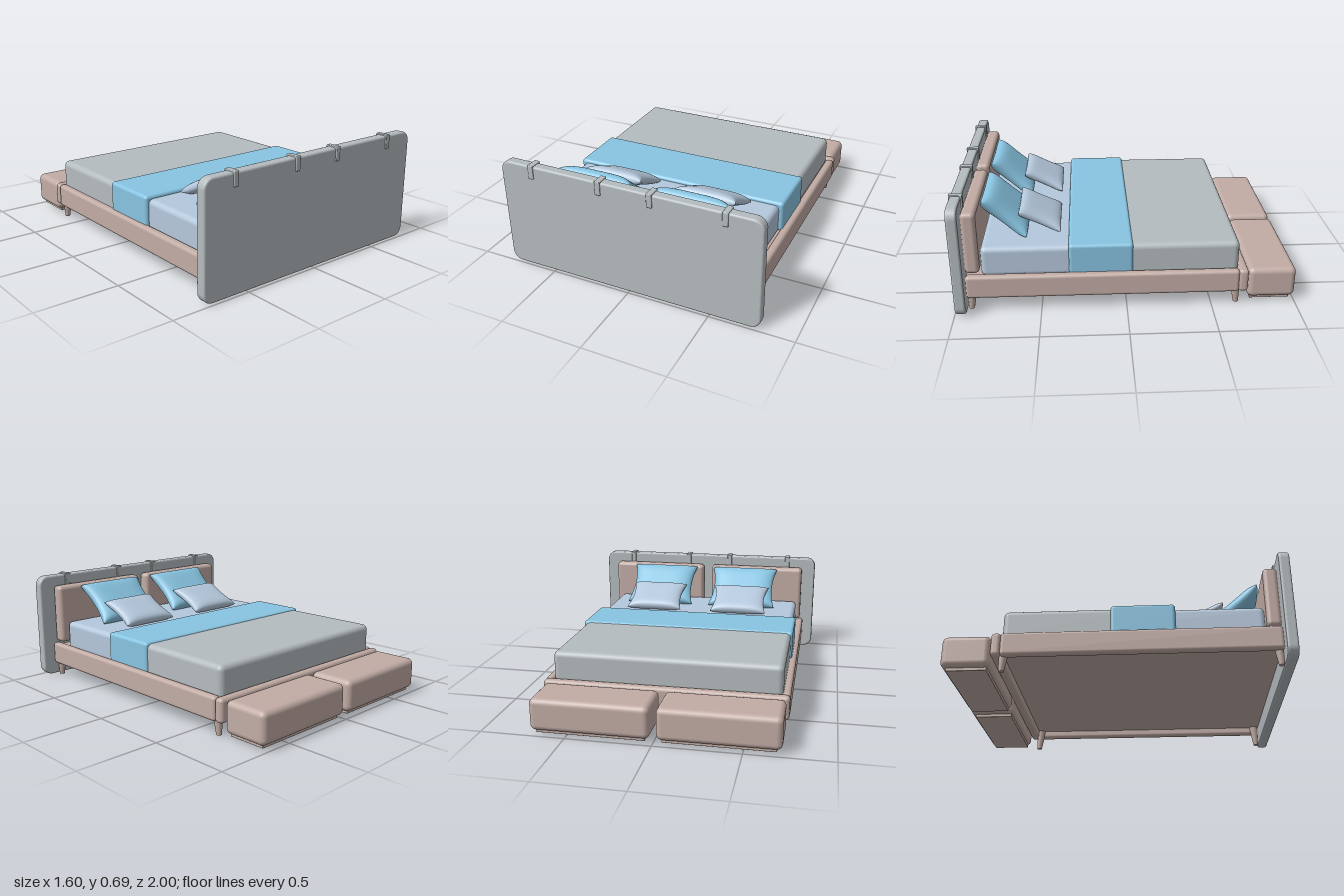
import * as THREE from 'three';
import { mergeVertices } from 'three/addons/utils/BufferGeometryUtils.js';
import { RoundedBoxGeometry } from 'three/addons/geometries/RoundedBoxGeometry.js';

const material = (name, color) => {
  const m = new THREE.MeshStandardMaterial({ color });
  m.name = name;
  return m;
};

// Soft box given by its minimum and maximum corners
function softBox(name, mat, [x0, y0, z0], [x1, y1, z1], radius) {
  const geo = new RoundedBoxGeometry(x1 - x0, y1 - y0, z1 - z0, 4, radius);
  const mesh = new THREE.Mesh(geo, mat);
  mesh.position.set((x0 + x1) / 2, (y0 + y1) / 2, (z0 + z1) / 2);
  mesh.name = name;
  return mesh;
}

// Upright slab with rounded corners and a bevelled rim
function slabGeometry(w, y0, y1, depth, r, bevel) {
  const x = w / 2 - bevel, lo = y0 + bevel, hi = y1 - bevel;
  const s = new THREE.Shape();
  s.moveTo(-x + r, lo);
  s.lineTo(x - r, lo);
  s.absarc(x - r, lo + r, r, -Math.PI / 2, 0);
  s.absarc(x - r, hi - r, r, 0, Math.PI / 2);
  s.absarc(-x + r, hi - r, r, Math.PI / 2, Math.PI);
  s.absarc(-x + r, lo + r, r, Math.PI, Math.PI * 1.5);
  const geo = new THREE.ExtrudeGeometry(s, {
    depth: depth - 2 * bevel, bevelSize: bevel, bevelThickness: bevel, bevelSegments: 4, curveSegments: 10,
  });
  return geo.translate(0, 0, bevel);
}

// Plump cushion with full, rounded ends, pinched sides and pointed corners
function pillowGeometry(w, t, l) {
  const geo = new THREE.BoxGeometry(2, 2, 2, 28, 1, 28);
  geo.deleteAttribute('uv');
  geo.deleteAttribute('normal');
  const p = geo.attributes.position;
  for (let i = 0; i < p.count; i++) {
    const u = Math.sin(p.getX(i) * Math.PI / 2), v = Math.sin(p.getZ(i) * Math.PI / 2);
    const puff = Math.sqrt(Math.max(0, (1 - u ** 4) * (1 - v ** 6)));
    p.setXYZ(i,
      w / 2 * u * (1 - 0.11 * (1 - v * v)),
      Math.sign(p.getY(i)) * (0.003 + (t / 2 - 0.003) * puff),
      l / 2 * v * (1 - 0.03 * (1 - u * u)));
  }
  const merged = mergeVertices(geo);
  merged.computeVertexNormals();
  return merged;
}

export function createModel() {
  const taupe = material('taupe upholstery', 0xc2aca5);
  const grey = material('grey fabric', 0xb5bcbf);
  const blue = material('blue fabric', 0x88c4e1);
  const pale = material('pale blue linen', 0xb5c8dc);

  const bed = new THREE.Group();
  bed.name = 'bed';

  // Headboard panel with straps folded over the top
  const headboard = new THREE.Mesh(slabGeometry(1.6, 0.005, 0.683, 0.062, 0.05, 0.012), grey);
  headboard.position.z = 0.931;
  headboard.name = 'headboard';
  bed.add(headboard);
  for (const x of [-0.595, -0.16, 0.155, 0.59]) {
    bed.add(softBox('headboardStrap', grey, [x - 0.017, 0.605, 0.922], [x + 0.017, 0.69, 1], 0.005));
  }

  // Back cushions
  bed.add(softBox('rightBackCushion', taupe, [-0.707, 0.235, 0.848], [-0.033, 0.617, 0.932], 0.026));
  bed.add(softBox('leftBackCushion', taupe, [0.03, 0.235, 0.848], [0.704, 0.617, 0.932], 0.026));

  // Frame: side rails, foot rail and a base panel set up inside them
  bed.add(softBox('rightRail', taupe, [-0.728, 0.083, -0.66], [-0.676, 0.226, 0.932], 0.02));
  bed.add(softBox('leftRail', taupe, [0.674, 0.083, -0.66], [0.726, 0.226, 0.932], 0.02));
  bed.add(softBox('footRail', taupe, [-0.727, 0.083, -0.714], [0.724, 0.226, -0.656], 0.022));
  bed.add(softBox('basePanel', taupe, [-0.69, 0.13, -0.68], [0.69, 0.205, 0.932], 0.002));

  // Tapered legs, splayed towards the ends of the bed
  for (const side of [-1, 1]) {
    for (const [z, end] of [[0.9, 1], [-0.64, -1]]) {
      const geo = new THREE.CylinderGeometry(0.03, 0.016, 0.135, 20).translate(0, 0.0675, 0);
      const p = geo.attributes.position;
      for (let i = 0; i < p.count; i++) p.setZ(i, p.getZ(i) + end * (0.135 - p.getY(i)) * 0.08);
      geo.computeVertexNormals();
      const leg = new THREE.Mesh(geo, taupe);
      leg.position.set(side * 0.68, 0, z);
      leg.name = 'leg';
      bed.add(leg);
    }
  }

  // Mattress and covers
  bed.add(softBox('mattress', pale, [-0.677, 0.19, -0.63], [0.66, 0.377, 0.845], 0.032));
  bed.add(softBox('blanket', grey, [-0.687, 0.19, -0.66], [0.675, 0.388, 0.05], 0.034));
  bed.add(softBox('throw', blue, [-0.699, 0.205, -0.038], [0.687, 0.398, 0.335], 0.02));

  // Two stacks of pillows leaning on the back cushions
  const largePillow = pillowGeometry(0.475, 0.108, 0.335);
  const smallPillow = pillowGeometry(0.385, 0.08, 0.272);
  for (const x of [-0.29, 0.308]) {
    const large = new THREE.Mesh(largePillow, blue);
    large.position.set(x, 0.497, 0.708);
    large.rotation.x = -0.72;
    large.name = 'largePillow';
    const small = new THREE.Mesh(smallPillow, pale);
    small.position.set(x, 0.456, 0.505);
    small.rotation.x = -0.45;
    small.name = 'smallPillow';
    bed.add(large, small);
  }

  // Two benches on recessed plinths at the foot
  for (const [x0, x1] of [[-0.711, -0.021], [0.015, 0.705]]) {
    bed.add(softBox('bench', taupe, [x0, 0.03, -1], [x1, 0.221, -0.716], 0.034));
    bed.add(softBox('benchPlinth', taupe, [x0 + 0.03, 0.012, -0.97], [x1 - 0.03, 0.045, -0.735], 0.003));
  }
  return bed;
}
